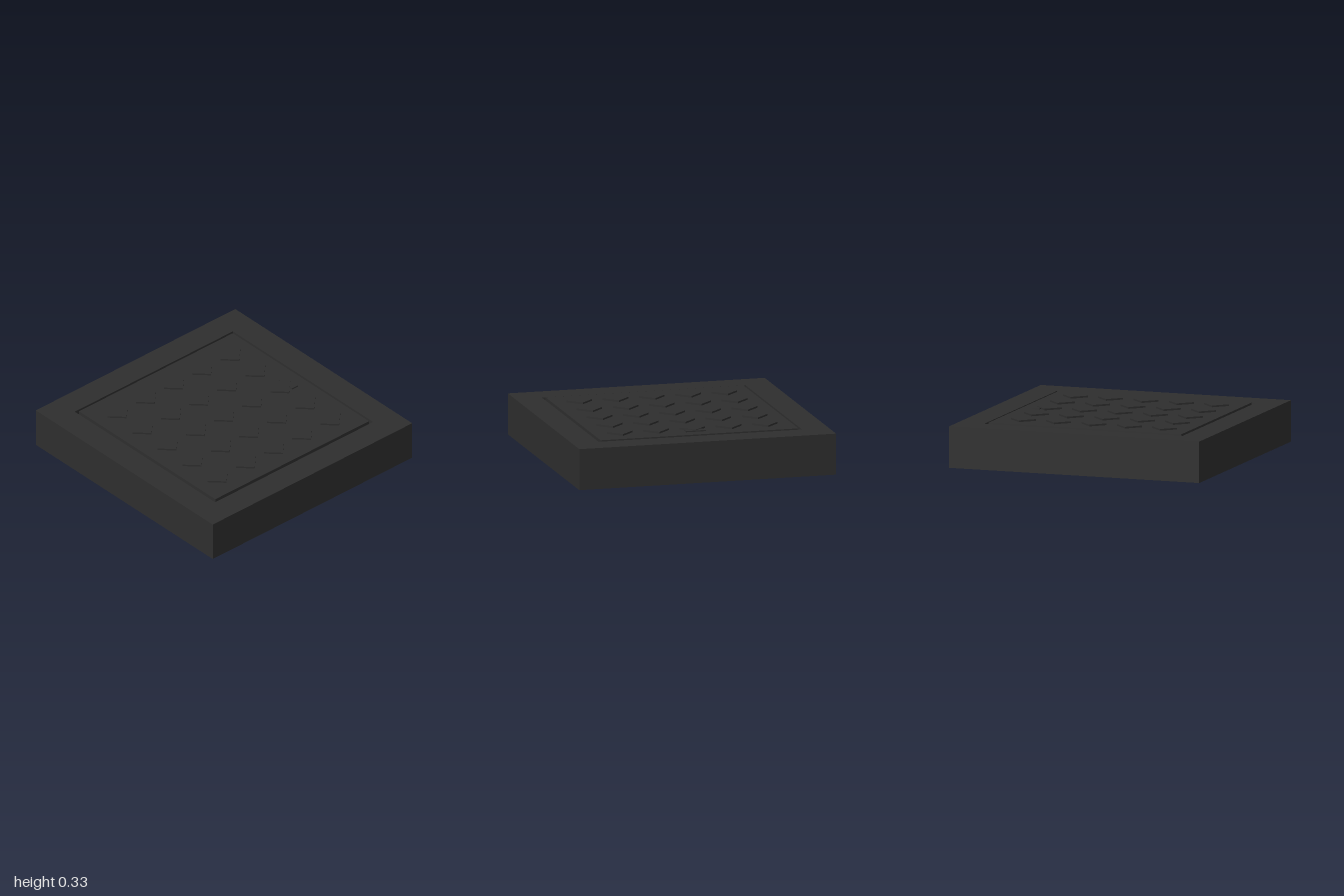
import * as THREE from 'three';

export function createModel() {
  const model = new THREE.Group();
  model.name = 'accessCover';
  const iron = new THREE.MeshStandardMaterial({ color: 0x2e2e2e });
  iron.name = 'dark iron';

  const add = (parent, name, geometry, x, y, z) => {
    const mesh = new THREE.Mesh(geometry, iron);
    mesh.name = name;
    mesh.position.set(x, y, z);
    parent.add(mesh);
    return mesh;
  };

  // Square outline, centred on the origin
  const square = (half, PathType) => {
    const path = new PathType();
    path.moveTo(-half, -half);
    path.lineTo(half, -half);
    path.lineTo(half, half);
    path.lineTo(-half, half);
    path.closePath();
    return path;
  };

  // Frame with a square opening right through it
  const outline = square(1, THREE.Shape);
  outline.holes.push(square(0.793, THREE.Path));
  const frame = new THREE.ExtrudeGeometry(outline, { depth: 0.315, bevelEnabled: false });
  frame.rotateX(-Math.PI / 2);
  add(model, 'frame', frame, 0, 0, 0);

  // Loose lid, with a narrow gap all round
  const lid = new THREE.Group();
  lid.name = 'lid';
  model.add(lid);
  add(lid, 'lidPlate', new THREE.BoxGeometry(1.54, 0.105, 1.54), 0, 0.2675, 0);

  // Five by five raised diamond treads
  const tread = new THREE.BoxGeometry(0.1414, 0.018, 0.1414).rotateY(Math.PI / 4);
  for (let row = -2; row <= 2; row++) {
    for (let col = -2; col <= 2; col++) {
      add(lid, 'diamondTread', tread, col * 0.2825, 0.324, row * 0.2825);
    }
  }

  // Low lifting lug at the back edge
  add(lid, 'liftingLug', new THREE.BoxGeometry(0.154, 0.014, 0.06), 0, 0.322, -0.645);

  return model;
}
